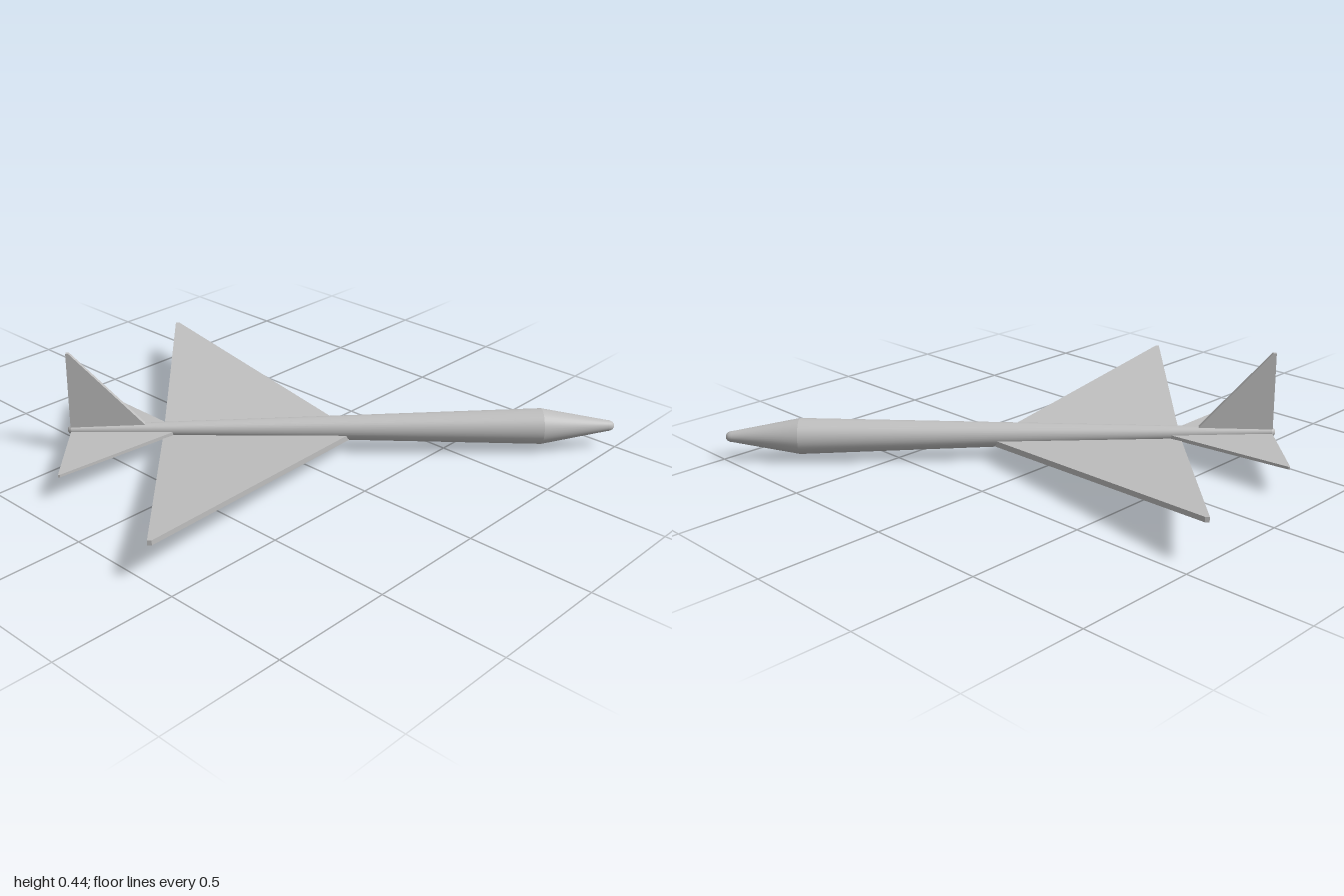
import * as THREE from 'three';
import { ConvexGeometry } from 'three/addons/geometries/ConvexGeometry.js';

const AXIS_Y = 0.098; // height of the fuselage axis

export function createModel() {
  const model = new THREE.Group();
  const plane = new THREE.Group(); // built nose to +z, then turned
  plane.name = 'airplane';
  plane.rotation.y = Math.PI / 4;
  model.add(plane);

  const grey = new THREE.MeshStandardMaterial({ color: 0xbfbfbf });
  grey.name = 'plain grey';

  function add(name, geometry) {
    const mesh = new THREE.Mesh(geometry, grey);
    mesh.name = name;
    plane.add(mesh);
    return mesh;
  }

  // Round body along z from [radius, z] pairs, tail to nose
  function turned(name, profile) {
    const points = profile.map(([r, z]) => new THREE.Vector2(r, z));
    const geometry = new THREE.LatheGeometry(points, 40);
    geometry.rotateX(Math.PI / 2);
    geometry.translate(0, AXIS_Y, 0);
    return add(name, geometry);
  }

  // Flat-faced solid between box sections given by their ranges
  function solid(name, sections) {
    const points = [];
    for (const { x, y, z } of sections) {
      for (const px of x) for (const py of y) for (const pz of z) {
        points.push(new THREE.Vector3(px, py, pz));
      }
    }
    return add(name, new ConvexGeometry(points));
  }

  // Fuselage: rounded tail end, long taper, conical nose, rounded tip
  turned('tailEnd', [[0, -0.828], [0.009, -0.826], [0.015, -0.821], [0.018, -0.812]]);
  turned('fuselage', [[0.018, -0.812], [0.073, 1.1]]);
  turned('noseCone', [[0.073, 1.1], [0.023, 1.37]]);
  turned('noseTip', [[0.023, 1.37], [0.021, 1.383], [0.016, 1.393], [0.009, 1.398], [0, 1.4]]);

  // Delta wings with dihedral, and the smaller tailplanes
  for (const [side, s] of [['left', 1], ['right', -1]]) {
    solid(side + 'Wing', [
      { x: [0], y: [0.055, 0.08], z: [-0.44, 0.34] },
      { x: [s * 0.978], y: [0.15, 0.17], z: [-0.436, -0.42] },
    ]);
    solid(side + 'Tailplane', [
      { x: [0], y: [0.08, 0.096], z: [-0.813, -0.37] },
      { x: [s * 0.41], y: [0.102, 0.113], z: [-0.813, -0.806] },
    ]);
  }

  // Upright fin
  solid('fin', [
    { x: [-0.011, 0.011], y: [0.098], z: [-0.815, -0.49] },
    { x: [-0.009, 0.009], y: [0.435], z: [-0.815, -0.803] },
  ]);

  // Belly pod with sloping ends
  solid('bellyPod', [
    { x: [-0.018, 0.018], y: [0.06], z: [-0.155, 0.05] },
    { x: [-0.017, 0.017], y: [0], z: [-0.122, 0.012] },
  ]);

  return model;
}
